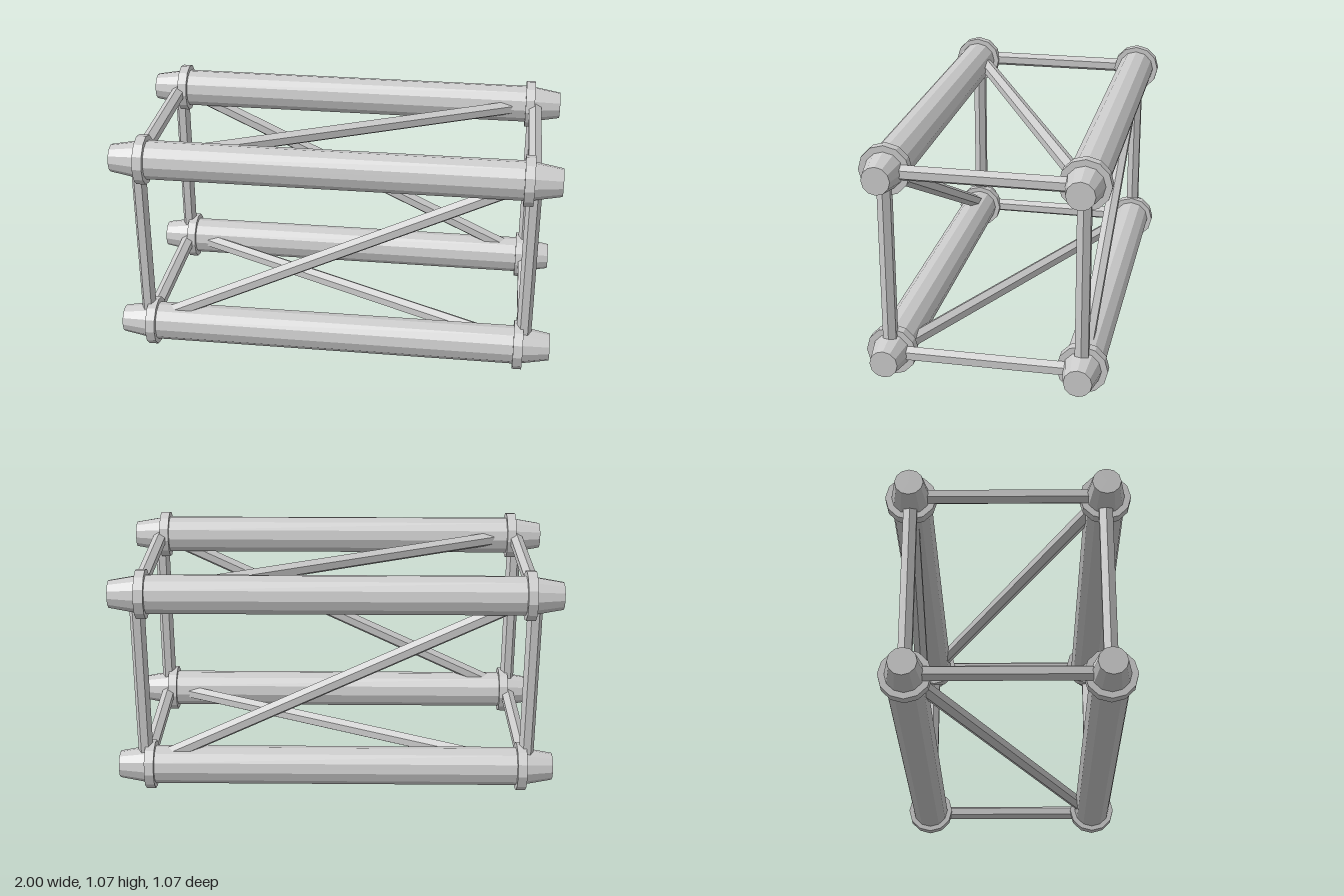
import * as THREE from 'three';

const HALF = 0.423;   // half the spacing between chord axes
const MID = 0.535;    // height of the truss centre line
const BRACE_X = 0.88; // where the braces meet the chords
const BRACE_R = 0.034;

const material = new THREE.MeshStandardMaterial({ color: 0xcccccc, flatShading: true });

function addMesh(parent, name, geometry) {
  const mesh = new THREE.Mesh(geometry, material);
  mesh.name = name;
  parent.add(mesh);
  return mesh;
}

// Hexagonal bar from a to b; two opposite corners point along `corner`
function addBar(parent, name, a, b, corner) {
  const axis = b.clone().sub(a);
  const mesh = addMesh(parent, name, new THREE.CylinderGeometry(BRACE_R, BRACE_R, axis.length(), 6));
  const y = axis.normalize();
  const x = y.clone().cross(corner).normalize();
  const z = x.clone().cross(y);
  mesh.quaternion.setFromRotationMatrix(new THREE.Matrix4().makeBasis(x, y, z));
  mesh.position.copy(a).add(b).multiplyScalar(0.5);
}

// Main tube along x with tapered ends and a collar near each end
function createChord() {
  const chord = new THREE.Group();
  chord.name = 'chord';
  const profile = [[0, -1], [0.062, -1], [0.088, -0.855], [0.088, 0.855], [0.062, 1], [0, 1]];
  const tube = new THREE.LatheGeometry(profile.map(([r, h]) => new THREE.Vector2(r, h)), 12);
  addMesh(chord, 'tube', tube.rotateZ(-Math.PI / 2));
  for (const side of [-1, 1]) {
    const collar = new THREE.CylinderGeometry(0.112, 0.112, 0.043, 12).rotateZ(-Math.PI / 2);
    addMesh(chord, 'collar', collar).position.x = side * 0.856;
  }
  return chord;
}

export function createModel() {
  const truss = new THREE.Group();
  truss.name = 'truss';
  const at = (x, y, z) => new THREE.Vector3(x * BRACE_X, MID + y * HALF, z * HALF);
  const up = new THREE.Vector3(0, 1, 0);
  const along = new THREE.Vector3(1, 0, 0);

  // Four chords
  for (const y of [-1, 1]) for (const z of [-1, 1]) {
    const chord = createChord();
    chord.position.set(0, MID + y * HALF, z * HALF);
    truss.add(chord);
  }

  for (const s of [-1, 1]) {
    // Square end frames
    for (const t of [-1, 1]) {
      addBar(truss, 'post', at(s, -1, t), at(s, 1, t), along);
      addBar(truss, 'crossBar', at(s, t, -1), at(s, t, 1), up);
    }
    // One diagonal per long face, mirrored on the opposite face
    addBar(truss, 'sideDiagonal', at(-1, -s, s), at(1, s, s), up);
    addBar(truss, 'levelDiagonal', at(-1, s, s), at(1, s, -s), up);
  }
  return truss;
}
